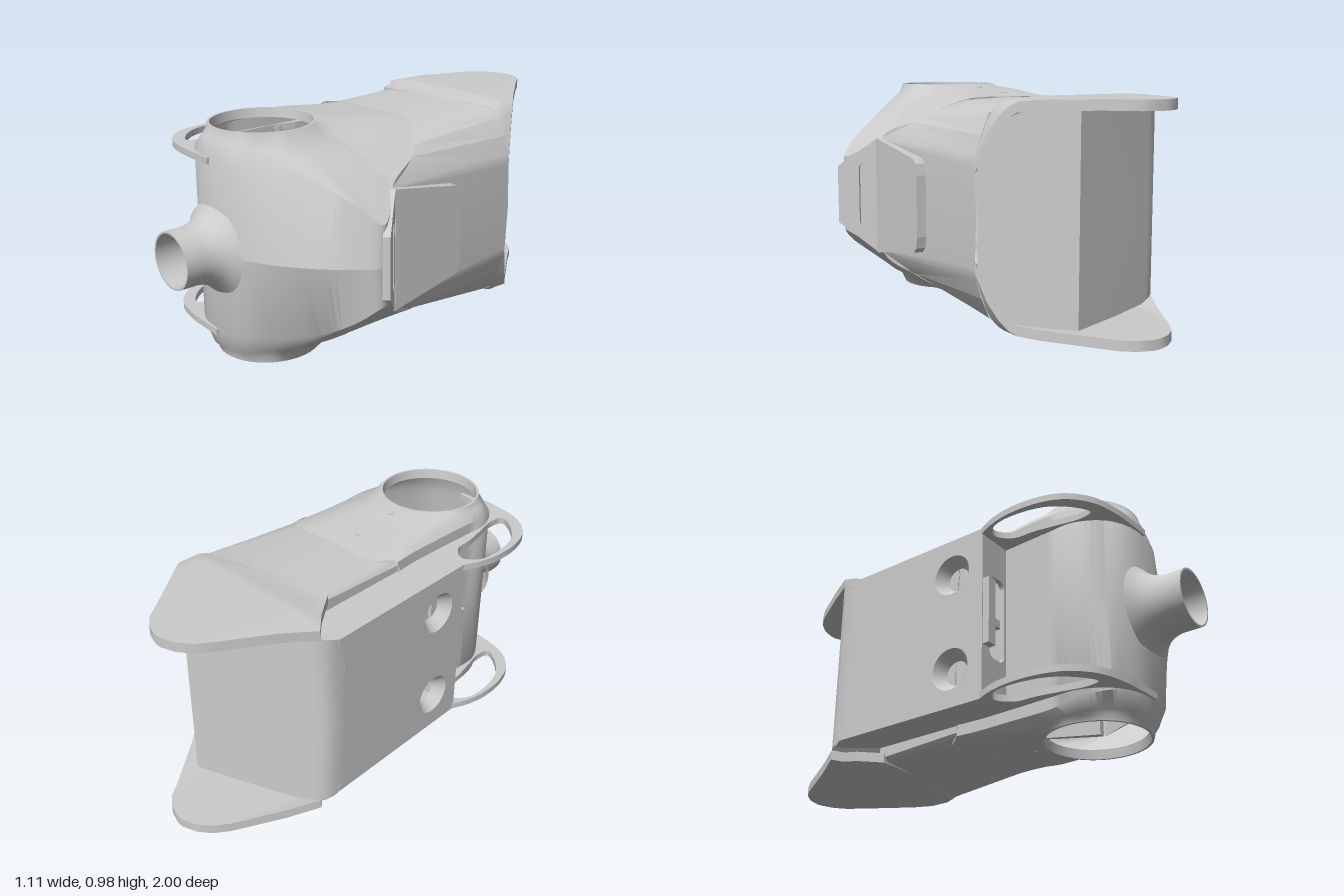
import * as THREE from 'three';
import { toCreasedNormals } from 'three/addons/utils/BufferGeometryUtils.js';

const H = 0.98; // full height, mirrored about H / 2
const grey = new THREE.MeshStandardMaterial({ color: 0xcccccc, side: THREE.DoubleSide });

function add(parent, name, geometry, x = 0, y = 0, z = 0) {
  const mesh = new THREE.Mesh(geometry, grey);
  mesh.name = name;
  mesh.position.set(x, y, z);
  parent.add(mesh);
}

const points = (list) => list.map(([a, b]) => new THREE.Vector2(a, b));
const vectors = (list) => list.map((p) => new THREE.Vector3(...p));
const extrude = (shape, depth) => new THREE.ExtrudeGeometry(shape, { depth, bevelEnabled: false, curveSegments: 24 });
// Plate drawn in (z, y), thickened towards -x
const sidePlate = (shape, depth) => extrude(shape, depth).rotateY(-Math.PI / 2);

// Upright hole with rounded corners
function slot(cx, cy, halfW, halfH, r = halfW) {
  const p = new THREE.Path();
  p.absarc(cx + halfW - r, cy + halfH - r, r, 0, Math.PI / 2);
  p.absarc(cx - halfW + r, cy + halfH - r, r, Math.PI / 2, Math.PI);
  p.absarc(cx - halfW + r, cy - halfH + r, r, Math.PI, Math.PI * 1.5);
  p.absarc(cx + halfW - r, cy - halfH + r, r, Math.PI * 1.5, Math.PI * 2);
  p.closePath();
  return p;
}

// Skin joining a list of rings (arrays of Vector3 of equal length)
function loft(rings, closed) {
  const n = rings[0].length, index = [];
  for (let j = 0; j < rings.length - 1; j++) {
    for (let i = 0; i < (closed ? n : n - 1); i++) {
      const k = (i + 1) % n, a = j * n + i, b = j * n + k, c = a + n, d = b + n;
      index.push(a, b, d, a, d, c);
    }
  }
  const g = new THREE.BufferGeometry().setFromPoints(rings.flat());
  g.setIndex(index);
  return toCreasedNormals(g, 0.6);
}

// Rows round the hood. Sides: base x, z, y and edge x, z, y. Shoulders: x, z, y.
const sides = [
  [-.34, .04, .49, -.34, .04, .92], [-.34, .15, .49, -.335, .15, .92], [-.34, .29, .49, -.34, .29, .92],
  [-.35, .5, .49, -.35, .5, .92], [-.35, .62, .49, -.35, .62, .9],
  [-.29, .73, .49, -.29, .73, .88], [-.2, .79, .49, -.2, .785, .87],
  [-.09, .81, .49, -.09, .8, .86], [.05, .8, .49, .05, .775, .84],
  [.2, .74, .49, .19, .68, .83], [.35, .64, .49, .32, .57, .8],
  [.47, .52, .49, .44, .5, .73], [.527, .44, .49, .515, .43, .66],
  [.395, .28, .49, .4, .28, .75], [.4, .279, .75, .4, .279, .75],
  [.33, .1, .83, .33, .1, .83], [.25, .02, .885, .25, .02, .885],
  [.15, -.05, .93, .15, -.05, .93], [-.09, -.05, .937, -.09, -.05, .937],
  [-.27, -.05, .933, -.27, -.05, .933], [-.34, .03, .92, -.34, .03, .92],
];
const shoulders = [
  [-.28, .22, .957], [-.3, .27, .957], [-.31, .36, .96], [-.325, .52, .955], [-.32, .62, .95],
  [-.26, .7, .94], [-.17, .77, .94], [-.09, .775, .94], [.03, .75, .93], [.1, .69, .92],
  [.18, .63, .9], [.22, .54, .89], [.24, .48, .885], [.22, .36, .9], [.219, .358, .9],
  [.18, .25, .925], [.13, .19, .945], [.06, .14, .955], [-.09, .13, .957], [-.2, .14, .957], [-.26, .19, .957],
];

// Upper half of the hood: rings from the middle line up to the flared round collar
function hoodGeometry() {
  const cx = -.09, cz = .54, n = sides.length * 6;
  const ring = (rows) => {
    const c = new THREE.CatmullRomCurve3(rows.map(([x, z, y]) => new THREE.Vector3(x, y, z)), true);
    return Array.from({ length: n }, (_, i) => c.getPoint(i / n));
  };
  const base = ring(sides.map((r) => r.slice(0, 3)));
  const edge = ring(sides.map((r) => r.slice(3)));
  const shoulder = ring(shoulders);
  const collar = (r, y) => shoulder.map((p) => {
    const a = Math.atan2(p.z - cz, p.x - cx);
    return new THREE.Vector3(cx + r * Math.cos(a), y, cz + r * Math.sin(a));
  });
  const rim = collar(.22, H);
  const flare = rim.map((p, i) => {
    const q = p.clone().lerp(shoulder[i], .35);
    q.y = THREE.MathUtils.lerp(H, shoulder[i].y, .6);
    return q;
  });
  return loft([base, edge, shoulder, flare, rim, collar(.21, H), collar(.205, .94)], true);
}

// Upper half of the sleeve running back from the hood seam
function sleeveGeometry() {
  const front = vectors([
    [.4, .49, .3], [.4, .745, .3], [.33, .826, .12], [.29, .855, .08], [.25, .88, .04], [.15, .926, -.03],
    [-.09, .933, -.03], [-.27, .929, -.03], [-.32, .92, .02], [-.335, .9, .05], [-.335, .49, .05]]);
  const back = vectors([
    [.37, .49, -.48], [.37, .69, -.47], [.365, .735, -.47], [.34, .815, -.47], [.305, .895, -.47], [.26, .93, -.48],
    [-.09, .945, -.48], [-.25, .945, -.48], [-.31, .938, -.43], [-.33, .92, -.4], [-.33, .49, -.4]]);
  return loft([front, back], false);
}

// Rear flap: a slab bent down along both sides, tapering to a rounded tip
function flapGeometry() {
  const z = [-.37, -.47, -.51, -.55, -.58, -.61, -.68, -.88, -.94, -.98, -1];
  const left = [-.335, -.4, -.435, -.47, -.453, -.435, -.395, -.28, -.235, -.18, -.12];
  const right = [-.2, .37, .34, .31, .288, .265, .21, .06, .02, -.03, -.09];
  const rows = z.length - 1;
  const g = new THREE.BoxGeometry(1, 1, 1, 28, 1, rows);
  const p = g.attributes.position;
  for (let i = 0; i < p.count; i++) {
    const row = Math.round((.5 - p.getZ(i)) * rows);
    const x = THREE.MathUtils.lerp(left[row], right[row], p.getX(i) + .5);
    const droop = .08 * Math.max(0, x - .13) + 15 * Math.max(0, x - .25) ** 2 + .25 * Math.max(0, -.36 - x);
    const tuck = row < 2 ? .014 : 0; // front rows slip under the sleeve
    p.setXYZ(i, x, .938 - droop - tuck + p.getY(i) * .042, z[row]);
  }
  return toCreasedNormals(g, 0.6);
}

// Upper half of the wall that turns the rear corner, crosses the back and returns to the sleeve
function rearWallGeometry() {
  const top = vectors([
    [-.5, .865, -.45], [-.497, .88, -.5], [-.483, .89, -.535], [-.455, .9, -.56], [-.415, .91, -.578],
    [.076, .925, -.755], [.23, .92, -.606], [.28, .895, -.557], [.31, .86, -.528], [.34, .79, -.499], [.362, .72, -.478]]);
  return loft([top.map((p) => p.clone().setY(H / 2)), top], false);
}

// Tray plate with its looped handle, drawn in (x, -z) and laid flat
function trayPlateGeometry() {
  const flip = (list) => points(list.map(([x, z]) => [x, -z]));
  const s = new THREE.Shape(flip([[-.31, -.37], [-.45, -.55], [-.5, -.48], [-.5, .27]]));
  s.splineThru(flip([[-.535, .35], [-.555, .45], [-.55, .57], [-.51, .68], [-.42, .76], [-.3, .795], [-.2, .805], [-.09, .811]]));
  for (const v of flip([[-.09, .78], [-.2, .765], [-.28, .71], [-.335, .62], [-.335, .3], [-.31, .2]])) s.lineTo(v.x, v.y);
  const loop = new THREE.CatmullRomCurve3(
    [[-.535, .42], [-.51, .34], [-.46, .31], [-.4, .36], [-.39, .46], [-.37, .57], [-.355, .66], [-.37, .72], [-.43, .69], [-.51, .59]]
      .map(([x, z]) => new THREE.Vector3(x, -z, 0)), true);
  s.holes.push(new THREE.Path(loop.getPoints(48).map((v) => new THREE.Vector2(v.x, v.y))));
  return extrude(s, .028).rotateX(-Math.PI / 2);
}

export function createModel() {
  const model = new THREE.Group();
  model.name = 'housing';

  // Mirrored upper and lower halves
  const upper = new THREE.Group();
  upper.name = 'upperHalf';
  add(upper, 'hood', hoodGeometry());
  add(upper, 'sleeve', sleeveGeometry());
  add(upper, 'rearFlap', flapGeometry());
  add(upper, 'rearWall', rearWallGeometry());
  add(upper, 'trayPlate', trayPlateGeometry(), 0, .844, 0);
  for (const [z, y] of [[.06, .944], [.27, .964]]) {
    add(upper, 'screw', new THREE.CylinderGeometry(.018, .018, .012, 6), -.1, y, z);
  }
  const lower = upper.clone();
  lower.name = 'lowerHalf';
  lower.scale.y = -1;
  lower.position.y = H;
  model.add(upper, lower);

  // Front nozzle
  const nozzle = points([[.19, .797], [.172, .812], [.152, .832], [.135, .858], [.124, .89], [.12, .92], [.12, 1], [.112, 1], [.112, .8]]);
  add(model, 'nozzle', toCreasedNormals(new THREE.LatheGeometry(nozzle, 48).rotateX(Math.PI / 2), .7), -.09, H / 2, 0);

  // Side wall with two countersunk holes
  const wall = new THREE.Shape(points([[-.452, .115], [.28, .115], [.28, .865], [-.452, .865]]));
  for (const y of [.275, .705]) {
    wall.holes.push(new THREE.Path().absarc(.12, y, .09, 0, Math.PI * 2));
    add(model, 'countersink', new THREE.CylinderGeometry(.09, .052, .05, 32, 1, true).rotateZ(Math.PI / 2), -.475, y, .12);
  }
  add(model, 'sideWall', sidePlate(wall, .02), -.48, 0, 0);

  // Front panel of the tray with its window, latch and crossbar
  const front = new THREE.Shape(points([[-.5, .115], [-.325, .115], [-.325, .865], [-.5, .865]]));
  front.holes.push(slot(-.403, H / 2, .048, .185, .03));
  add(model, 'trayFront', extrude(front, .02), 0, 0, .26);
  add(model, 'latchPlate', new THREE.BoxGeometry(.045, .295, .03), -.473, H / 2, .295);
  add(model, 'crossbar', new THREE.BoxGeometry(.1, .035, .02), -.4, H / 2, .25);

  // Side fin: slanted face with slot, and the flat cover behind it
  const slant = new THREE.Shape(points([[0, .36], [.198, .23], [.198, .75], [0, .62]]));
  slant.holes.push(slot(.128, H / 2, .024, .145));
  const face = extrude(slant, .03).translate(0, 0, -.03).rotateY(Math.atan2(.756, -.655));
  add(model, 'finFace', face, .55, 0, .43);
  const cover = new THREE.Shape(points([[.285, .23], [.285, .75], [-.07, .69], [-.09, .67], [-.1, .62], [-.1, .36], [-.09, .31], [-.07, .29]]));
  add(model, 'finCover', sidePlate(cover, .06), .428, 0, 0);

  return model;
}
